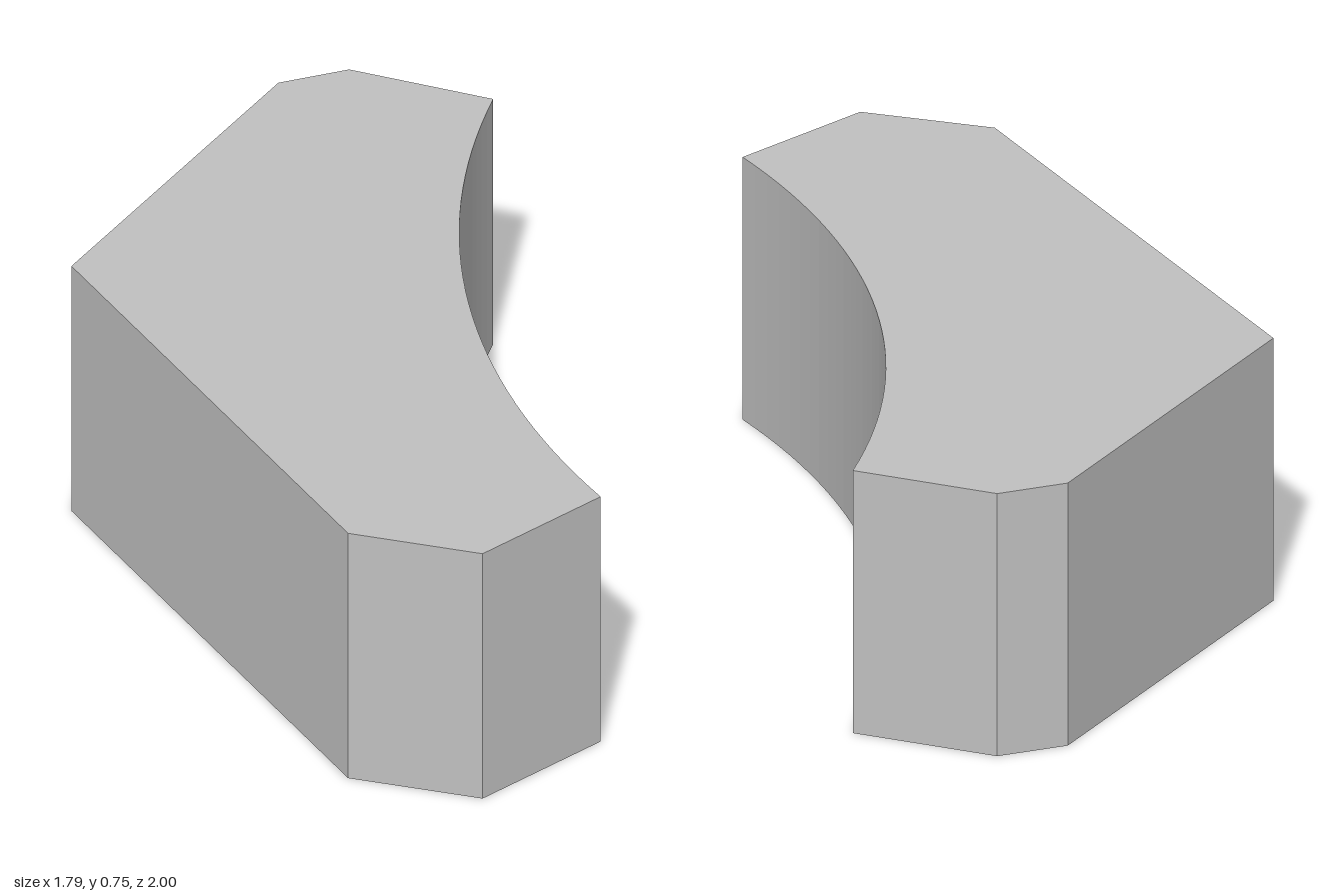
import * as THREE from 'three';

export function createModel() {
  const group = new THREE.Group();
  const grey = new THREE.MeshStandardMaterial({ color: 0xc0c0c0 });
  grey.name = 'light grey';

  // Plan outline as (x, z): straight sides from the front end round to the right end
  const outline = [
    [-0.312, 1], [-0.725, 0.971], [-0.895, 0.65], [-0.453, -0.77],
    [0.564, -1], [0.738, -0.912], [0.893, -0.542],
  ].map(([x, z]) => new THREE.Vector2(x, -z));

  // Concave side: circular arc back to the start, bulging into the block by the sagitta
  const end = outline[outline.length - 1], start = outline[0];
  const chord = start.clone().sub(end);
  const half = chord.length() / 2, sagitta = 0.205;
  const radius = (half * half + sagitta * sagitta) / (2 * sagitta);
  const outward = new THREE.Vector2(-chord.y, chord.x).normalize();
  const centre = end.clone().add(start).multiplyScalar(0.5).addScaledVector(outward, radius - sagitta);
  const from = end.clone().sub(centre).angle();
  const to = start.clone().sub(centre).angle();
  const steps = 32;
  for (let i = 1; i < steps; i++) {
    const a = from + (to - from) * i / steps;
    outline.push(new THREE.Vector2(centre.x + radius * Math.cos(a), centre.y + radius * Math.sin(a)));
  }

  // Upright block
  const geometry = new THREE.ExtrudeGeometry(new THREE.Shape(outline), { depth: 0.752, bevelEnabled: false });
  geometry.rotateX(-Math.PI / 2);
  const block = new THREE.Mesh(geometry, grey);
  block.name = 'curvedBlock';
  group.add(block);
  return group;
}
